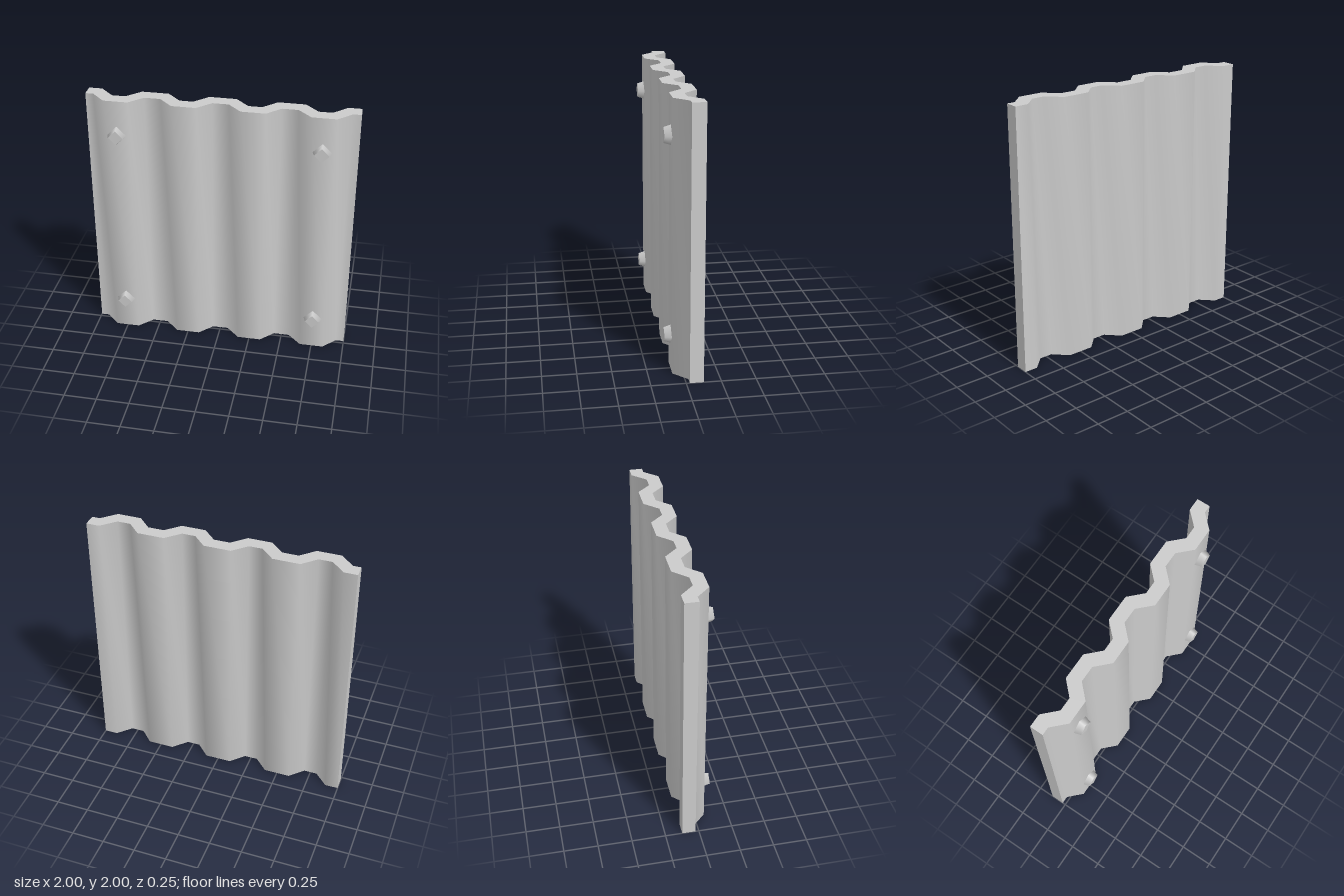
import * as THREE from 'three';
import { toCreasedNormals } from 'three/addons/utils/BufferGeometryUtils.js';

const RIBS = [-0.75, -0.25, 0.25, 0.75];

// One face of the corrugation: ribs of given half-width at crest and foot
function foldedLine(crest, foot, low, high) {
  const points = [[-1, low]];
  for (const x of RIBS) {
    points.push([x - foot, low], [x - crest, high], [x + crest, high], [x + foot, low]);
  }
  points.push([1, low]);
  return points.map(([x, z]) => new THREE.Vector2(x, -z));
}

export function createModel() {
  const model = new THREE.Group();
  const material = new THREE.MeshStandardMaterial({ color: 0xcccccc });

  // Corrugated sheet: folded cross-section extruded upwards, folds softly shaded
  const front = foldedLine(0.09, 0.19, -0.025, 0.075);
  const back = foldedLine(0.05, 0.15, -0.125, -0.025);
  const section = new THREE.Shape([...front, ...back.reverse()]);
  const sheet = new THREE.ExtrudeGeometry(section, { depth: 2, bevelEnabled: false });
  sheet.rotateX(-Math.PI / 2);
  const panel = new THREE.Mesh(toCreasedNormals(sheet, Math.PI / 3), material);
  panel.name = 'corrugatedPanel';
  model.add(panel);

  // Tapered square bolts, set as diamonds near the corners
  const boltGeometry = new THREE.CylinderGeometry(0.055, 0.07, 0.05, 4);
  boltGeometry.rotateX(Math.PI / 2);
  for (const x of [-0.75, 0.75]) {
    for (const y of [0.27, 1.73]) {
      const bolt = new THREE.Mesh(boltGeometry, material);
      bolt.name = (y > 1 ? 'upper' : 'lower') + (x > 0 ? 'Left' : 'Right') + 'Bolt';
      bolt.position.set(x, y, 0.1);
      model.add(bolt);
    }
  }
  return model;
}
